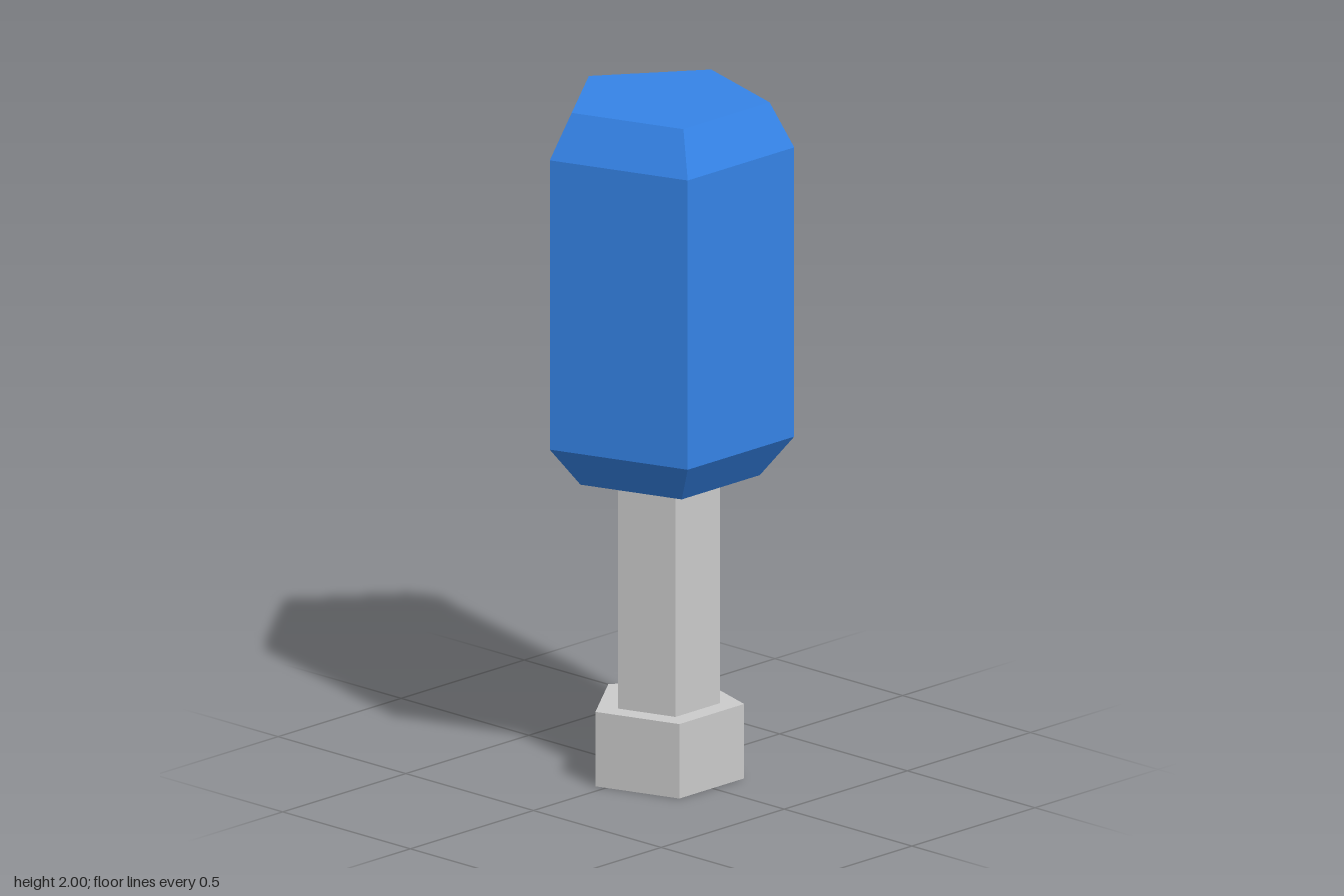
import * as THREE from 'three';

const SIDES = 5;

// Closed pentagonal solid from [radius, height] pairs, one corner pointing back
function pentagon(name, profile, color, x, z) {
  const first = profile[0], last = profile[profile.length - 1];
  const points = [[0, first[1]], ...profile, [0, last[1]]].map(([r, y]) => new THREE.Vector2(r, y));
  const geometry = new THREE.LatheGeometry(points, SIDES, Math.PI);
  const mesh = new THREE.Mesh(geometry, new THREE.MeshStandardMaterial({ color, flatShading: true }));
  mesh.name = name;
  mesh.position.set(x, 0, z);
  return mesh;
}

export function createModel() {
  const model = new THREE.Group();
  model.name = 'tool';
  const grey = 0xcccccc, blue = 0x3584e8;

  // Wide foot, slim shaft and bevelled handle
  model.add(
    pentagon('foot', [[0.224, 0], [0.224, 0.22]], grey, -0.002, 0.037),
    pentagon('shaft', [[0.154, 0.22], [0.154, 0.9]], grey, -0.002, 0.039),
    pentagon('handle', [[0.27, 0.897], [0.368, 1.015], [0.368, 1.87], [0.298, 2]], blue, 0, 0.033),
  );
  return model;
}
